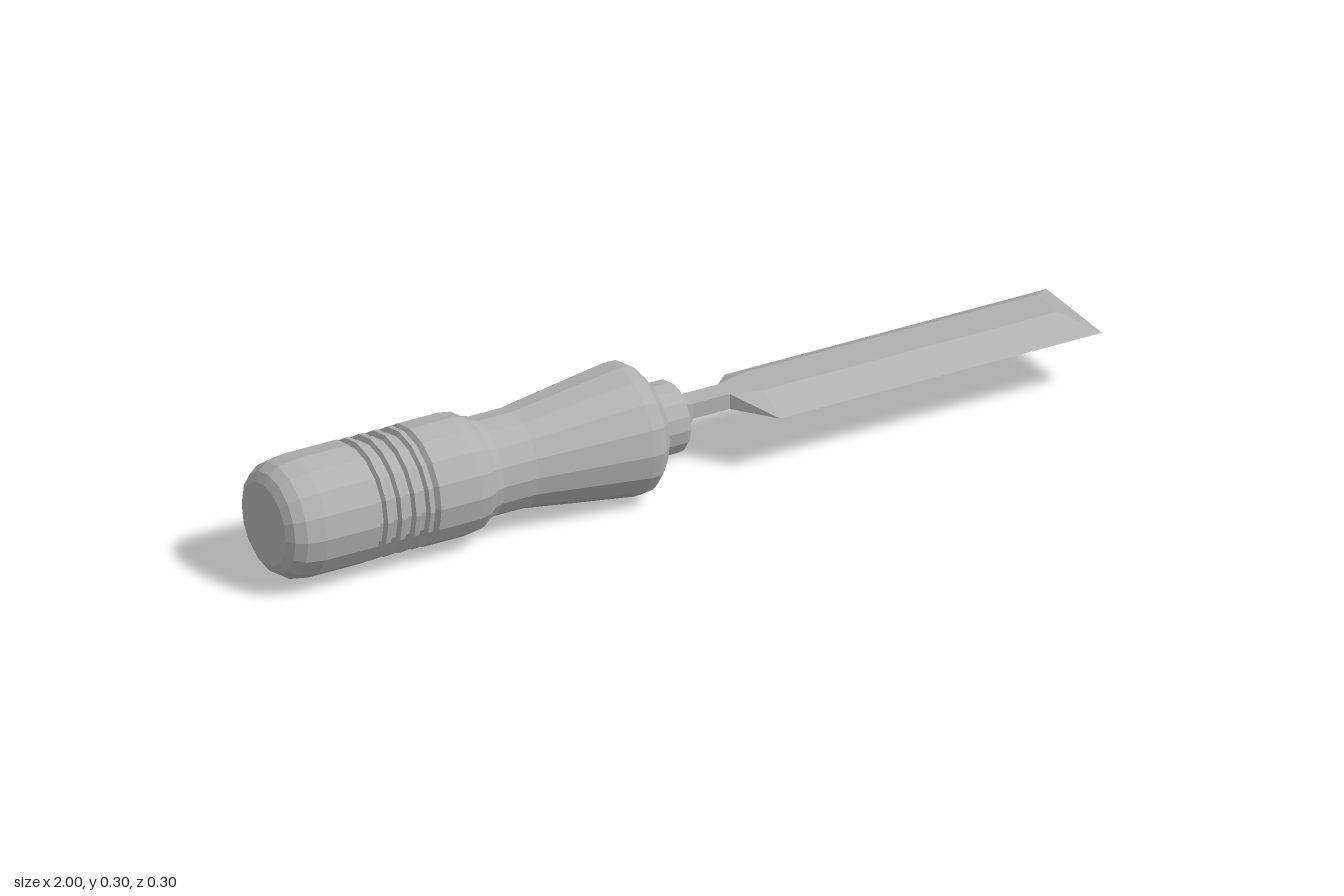
import * as THREE from 'three';

const AXIS_Y = 0.149;

// Faceted copy of a geometry
function faceted(geo) {
  const flat = geo.index ? geo.toNonIndexed() : geo;
  flat.computeVertexNormals();
  return flat;
}

// 16-sided turned part along x, from [x, radius] pairs
function turned(profile) {
  const pts = profile.map(([x, r]) => new THREE.Vector2(r, x));
  const geo = new THREE.LatheGeometry(pts, 16);
  geo.rotateZ(-Math.PI / 2);
  geo.translate(0, AXIS_Y, 0);
  return faceted(geo);
}

// Four-cornered sections joined along x, closed at both ends
function loft(sections) {
  const pos = [];
  const rings = sections.map(({ xb, xt, zb, zt, yb, yt }) => [
    [xb, yb, -zb], [xb, yb, zb], [xt, yt, zt], [xt, yt, -zt],
  ]);
  const tri = (a, b, c) => pos.push(...a, ...b, ...c);
  for (let i = 0; i < rings.length - 1; i++) {
    const a = rings[i], b = rings[i + 1];
    for (let j = 0; j < 4; j++) {
      const k = (j + 1) % 4;
      if (j === 3) {
        tri(a[j], b[j], b[k]);
        tri(a[j], b[k], a[k]);
      } else {
        tri(a[j], b[j], a[k]);
        tri(b[j], b[k], a[k]);
      }
    }
  }
  const s = rings[0], e = rings[rings.length - 1];
  tri(s[0], s[1], s[2]);
  tri(s[0], s[2], s[3]);
  tri(e[3], e[2], e[1]);
  tri(e[3], e[1], e[0]);
  const geo = new THREE.BufferGeometry();
  geo.setAttribute('position', new THREE.Float32BufferAttribute(pos, 3));
  return faceted(geo);
}

export function createModel() {
  const group = new THREE.Group();
  const grey = new THREE.MeshStandardMaterial({ color: 0xb0b0b0 });
  grey.name = 'plain grey';
  const add = (name, geo) => {
    const mesh = new THREE.Mesh(geo, grey);
    mesh.name = name;
    group.add(mesh);
  };

  // Handle: rounded butt, grooved band, waist and flared front
  const profile = [[-1, 0], [-1, 0.093], [-0.988, 0.114], [-0.965, 0.129], [-0.92, 0.136], [-0.79, 0.136]];
  for (let i = 0; i < 4; i++) {
    const x = -0.785 + i * 0.035;
    profile.push([x, 0.124], [x + 0.009, 0.124], [x + 0.014, 0.135], [x + 0.025, 0.135]);
  }
  profile.push(
    [-0.648, 0.124], [-0.64, 0.136], [-0.54, 0.136], [-0.51, 0.131], [-0.49, 0.117], [-0.47, 0.111],
    [-0.385, 0.111], [-0.28, 0.126], [-0.12, 0.148], [-0.1, 0.147], [-0.085, 0.138],
    [-0.06, 0.108], [-0.052, 0.085], [-0.052, 0]);
  add('handle', turned(profile));

  // Collar between handle and tang
  add('collar', turned([
    [-0.06, 0], [-0.06, 0.076], [-0.047, 0.081], [0.002, 0.081], [0.012, 0.074], [0.012, 0],
  ]));

  // Tang: flared foot narrowing to a slim neck
  const neck = { zb: 0.026, zt: 0.026, yb: 0.143, yt: 0.179 };
  add('tang', loft([
    { xb: 0.005, xt: 0.005, zb: 0.039, zt: 0.039, yb: 0.122, yt: 0.189 },
    { xb: 0.015, xt: 0.015, zb: 0.039, zt: 0.039, yb: 0.122, yt: 0.189 },
    { xb: 0.045, xt: 0.045, ...neck },
    { xb: 0.135, xt: 0.135, ...neck },
  ]));

  // Blade: bevelled sides and a slanted cutting edge
  const wide = { zb: 0.118, zt: 0.046, yb: 0.143, yt: 0.179 };
  add('blade', loft([
    { xb: 0.135, xt: 0.135, ...neck },
    { xb: 0.205, xt: 0.205, ...wide },
    { xb: 1, xt: 0.935, ...wide },
  ]));

  return group;
}
